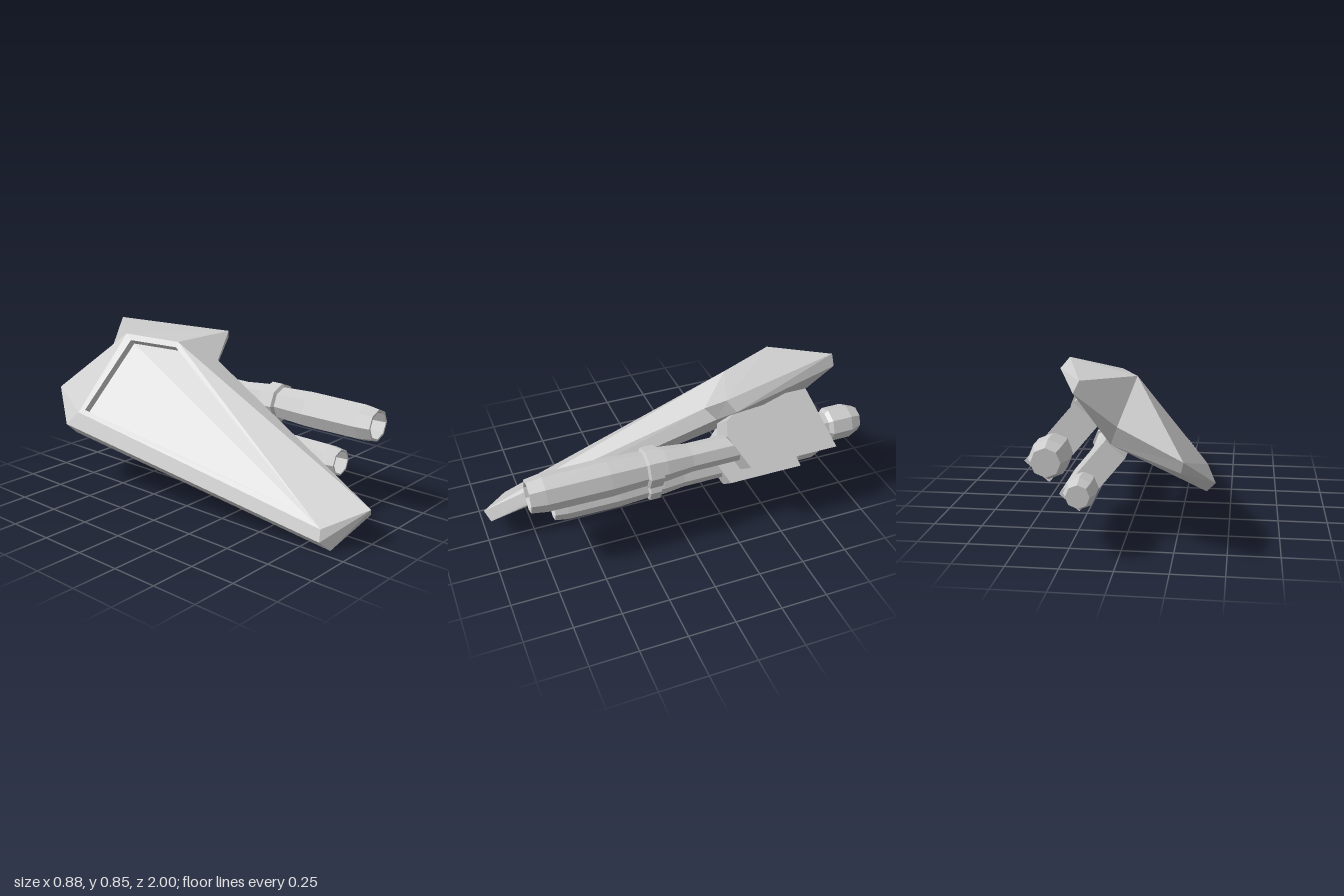
import * as THREE from 'three';

const material = new THREE.MeshStandardMaterial({ color: 0xcccccc, flatShading: true });

function addMesh(parent, geometry, name) {
  const flat = geometry.index ? geometry.toNonIndexed() : geometry;
  flat.computeVertexNormals();
  const mesh = new THREE.Mesh(flat, material);
  mesh.name = name;
  parent.add(mesh);
  return mesh;
}

// Polygons (corner lists) to triangles, each as a fan from its first corner
function fanGeometry(faces) {
  const pos = [];
  for (const f of faces)
    for (let i = 1; i < f.length - 1; i++) pos.push(...f[0], ...f[i], ...f[i + 1]);
  const g = new THREE.BufferGeometry();
  g.setAttribute('position', new THREE.Float32BufferAttribute(pos, 3));
  return g;
}

function createHull() {
  // Corners of the upper deck
  const A = [-0.065, 0.82, -0.63], B = [0.043, 0.798, -0.33];
  const P = [-0.4, 0.42, -0.68], Q = [-0.227, 0.112, 0.85];
  // Outer edge of the deck, and the edge of the underside below it
  const upper = [
    [-0.024, 0.19, 1.0], [0.184, 0.695, -0.16], [0.335, 0.83, -0.21], [0.16, 0.845, -0.9],
    [0, 0.63, -0.86], [-0.304, 0.5, -0.944], [-0.44, 0.348, -0.74], [-0.248, 0.053, 0.86],
  ];
  const lower = [
    [0.016, 0.142, 0.975], [0.23, 0.642, -0.21], [0.378, 0.777, -0.25], [0.19, 0.787, -0.9],
    [0.04, 0.53, -0.79], [-0.29, 0.44, -0.91], [-0.397, 0.297, -0.71], [-0.195, 0, 0.89],
  ];
  const [R, C, E, H, N, X, P2, T] = upper;
  const faces = [
    [B, Q, R, C], [B, C, E], [A, B, E, H], [A, H, N], [A, N, X],
    [A, X, P], [P, X, P2], [P, P2, T, Q], [Q, T, R],
  ];
  // Side band and underside
  upper.forEach((u, i) => {
    const j = (i + 1) % 8;
    faces.push([lower[i], lower[j], upper[j], u]);
  });
  faces.push([4, 3, 2, 1, 0, 7, 6, 5].map((i) => lower[i]));
  // Sunken deck panel: rim, walls, floor
  const rim = [A, P, Q, B];
  const lip = [[-0.075, 0.79, -0.585], [-0.38, 0.436, -0.648], [-0.217, 0.157, 0.754], [0.02, 0.772, -0.325]];
  const floor = lip.map(([x, y, z]) => [x + 0.034, y - 0.027, z - 0.009]);
  for (let i = 0; i < 4; i++) {
    const j = (i + 1) % 4;
    faces.push([rim[i], rim[j], lip[j], lip[i]], [lip[i], lip[j], floor[j], floor[i]]);
  }
  faces.push(floor);
  return fanGeometry(faces);
}

function createGun(name, mountTop) {
  const gun = new THREE.Group();
  gun.name = name;

  // Eight-sided barrel along z, from the tail to the hollow muzzle
  const profile = [
    [0, -0.91], [0.068, -0.91], [0.092, -0.85], [0.092, -0.74], [0.075, -0.72],
    [0.075, 0.06], [0.09, 0.2], [0.09, 0.23], [0.108, 0.23], [0.108, 0.3],
    [0.09, 0.31], [0.1, 0.5], [0.097, 0.83], [0.085, 0.91],
    [0.074, 0.91], [0.06, 0.8], [0, 0.8],
  ].map(([r, y]) => new THREE.Vector2(r, y));
  const barrel = new THREE.LatheGeometry(profile, 8);
  barrel.rotateX(Math.PI / 2);
  addMesh(gun, barrel, 'barrel');

  // Slanted mount slab that reaches up into the hull
  const shape = new THREE.Shape([
    [-0.23, -0.126], [-0.145, 0.058], [-0.16, 0.137], [-0.29, mountTop],
    [-0.635, mountTop], [-0.73, -0.126],
  ].map(([z, v]) => new THREE.Vector2(z, v)));
  const slab = new THREE.ExtrudeGeometry(shape, { depth: 0.152, bevelEnabled: false });
  slab.translate(0, 0, -0.076);
  slab.applyMatrix4(new THREE.Matrix4().makeBasis(
    new THREE.Vector3(0, 0, 1),
    new THREE.Vector3(-0.65, 0.76, 0),
    new THREE.Vector3(-0.76, -0.65, 0),
  ));
  addMesh(gun, slab, 'mount');
  return gun;
}

export function createModel() {
  const model = new THREE.Group();
  model.name = 'wingWithGuns';
  addMesh(model, createHull(), 'hull');

  const upperGun = createGun('upperGun', 0.21);
  upperGun.position.set(0.298, 0.495, -0.09);
  model.add(upperGun);

  const lowerGun = createGun('lowerGun', 0.26);
  lowerGun.position.set(0.187, 0.292, -0.085);
  lowerGun.scale.setScalar(0.84);
  model.add(lowerGun);
  return model;
}
